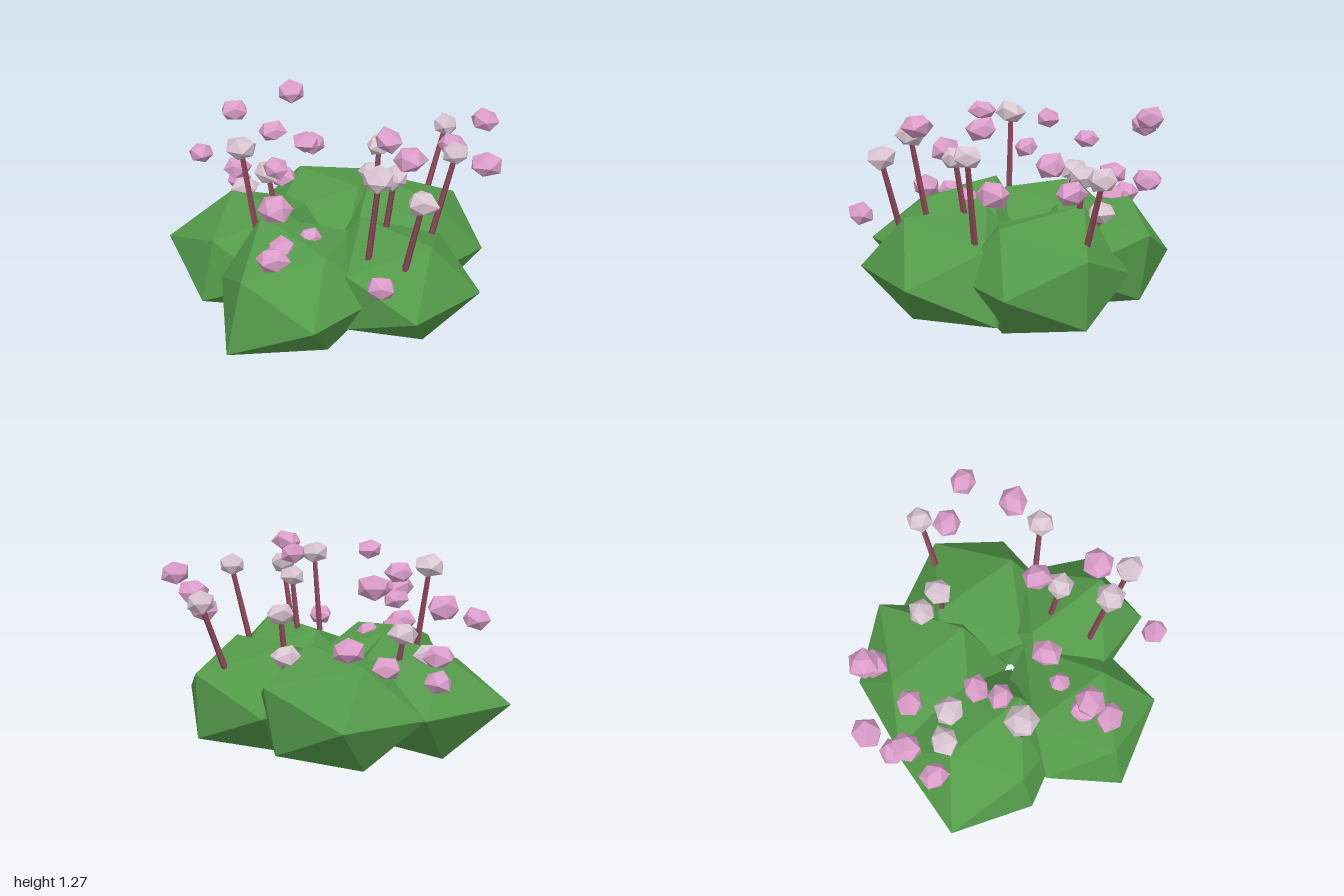
import * as THREE from 'three';

const mat = (name, color) => {
  const m = new THREE.MeshStandardMaterial({ color, flatShading: true });
  m.name = name;
  return m;
};

// small seeded generator for the blossom irregularity
let seed = 7;
const rand = () => {
  seed = (seed * 16807) % 2147483647;
  return seed / 2147483647;
};

// the twelve icosahedron corners, in the order used by the radius lists
const T = (1 + Math.sqrt(5)) / 2;
const CORNERS = [
  [-1, T, 0], [1, T, 0], [-1, -T, 0], [1, -T, 0],
  [0, -1, T], [0, 1, T], [0, -1, -T], [0, 1, -T],
  [T, 0, -1], [T, 0, 1], [-T, 0, -1], [-T, 0, 1],
].map((c) => new THREE.Vector3(...c).normalize());

// icosahedron with its own radius at every corner, squashed in y
function lump(radii, squash) {
  const geo = new THREE.IcosahedronGeometry(1, 0);
  const pos = geo.attributes.position;
  const v = new THREE.Vector3();
  for (let i = 0; i < pos.count; i++) {
    v.fromBufferAttribute(pos, i).normalize();
    const r = radii[CORNERS.findIndex((c) => c.dot(v) > 0.99)];
    pos.setXYZ(i, v.x * r, v.y * r * squash, v.z * r);
  }
  geo.computeVertexNormals();
  return geo;
}

export function createModel() {
  const model = new THREE.Group();
  model.name = 'floweringBush';
  const green = mat('leafGreen', 0x549a4a);
  const pink = mat('petalPink', 0xdb9dca);
  const pale = mat('blossomPale', 0xdac5d2);
  const wine = mat('stemWine', 0x8c4658);

  const add = (name, geo, material, x, y, z) => {
    const mesh = new THREE.Mesh(geo, material);
    mesh.name = name;
    mesh.position.set(x, y, z);
    model.add(mesh);
    return mesh;
  };

  // five foliage clumps in a ring, starting at the left and turning to the front
  const clumps = [
    [0.52, 0.54, 0.603, 0.47, 0.45, 0.45, 0.61, 0.47, 0.512, 0.512, 0.5, 0.5],
    [0.58, 0.46, 0.47, 0.5, 0.623, 0.482, 0.5, 0.54, 0.5, 0.54, 0.5, 0.464],
    [0.5, 0.53, 0.55, 0.53, 0.548, 0.43, 0.5, 0.52, 0.5, 0.5, 0.56, 0.611],
    [0.5, 0.55, 0.49, 0.49, 0.5, 0.5, 0.5, 0.583, 0.5, 0.5, 0.447, 0.54],
    [0.595, 0.52, 0.49, 0.49, 0.5, 0.52, 0.52, 0.524, 0.487, 0.5, 0.517, 0.5],
  ];
  clumps.forEach((radii, i) => {
    const a = (i * Math.PI * 2) / 5;
    add('foliageClump', lump(radii, 0.72), green,
      0.081 + 0.483 * Math.cos(a), 0.38, 0.483 * Math.sin(a));
  });

  // irregular little blossom
  const blossom = (name, material, x, y, z, r) => {
    const radii = CORNERS.map(() => r * (0.88 + 0.28 * rand()));
    add(name, lump(radii, 0.78), material, x, y, z).rotation.y = rand() * Math.PI * 2;
  };

  // thin stem between two points
  const stem = (a, b) => {
    const dir = b.clone().sub(a);
    const mid = a.clone().add(b).multiplyScalar(0.5);
    const mesh = add('stem', new THREE.CylinderGeometry(0.016, 0.02, dir.length(), 5),
      wine, mid.x, mid.y, mid.z);
    mesh.quaternion.setFromUnitVectors(new THREE.Vector3(0, 1, 0), dir.normalize());
  };

  // pale blossoms: head x, y, z, radius, then stem foot x, y, z
  [
    [-0.21, 1.13, 0.49, 0.095, -0.16, 0.62, 0.44],
    [-0.05, 0.93, -0.49, 0.085, -0.04, 0.66, -0.46],
    [0.14, 1.02, -0.9, 0.085, 0.13, 0.6, -0.76],
    [0.52, 1.02, -0.03, 0.085, 0.46, 0.64, -0.03],
    [0.66, 1.11, -0.39, 0.085, 0.57, 0.57, -0.31],
    [0.66, 1.13, 0.24, 0.09, 0.57, 0.58, 0.22],
    [0.9, 1.04, 0.15, 0.09, 0.79, 0.59, 0.15],
    [-0.43, 0.8, 0.11, 0.09, -0.4, 0.62, 0.1],
    [-0.55, 0.69, 0.2, 0.09, -0.53, 0.58, 0.2],
    [-0.15, 0.71, -0.53, 0.085, -0.14, 0.58, -0.52],
  ].forEach(([x, y, z, r, fx, fy, fz]) => {
    blossom('paleBlossom', pale, x, y, z, r);
    stem(new THREE.Vector3(fx, fy, fz), new THREE.Vector3(x, y - 0.02, z));
  });

  // loose pink petals drifting around the bush: x, y, z, radius
  [
    [-0.6, 0.81, -0.42, 0.095], [-0.69, 1.17, -0.31, 0.09], [-0.57, 0.66, -0.12, 0.085],
    [-0.91, 1.05, -0.01, 0.092], [-0.82, 0.61, 0.04, 0.085], [-0.75, 0.73, 0.1, 0.09],
    [-0.29, 1.13, 0.19, 0.085], [-0.17, 0.95, 0.26, 0.08], [-0.75, 0.91, 0.38, 0.085],
    [0.13, 1.21, 0.29, 0.085], [0.22, 0.66, 0.35, 0.07], [0.22, 0.92, 0.61, 0.095],
    [0.21, 0.66, 0.56, 0.08], [0.31, 0.67, 0.7, 0.092], [0.39, 1.19, -0.11, 0.09],
    [0.71, 1.21, 0.06, 0.095], [0.9, 0.64, 0.45, 0.085], [0.28, 0.94, -0.81, 0.088],
    [0.47, 1.14, -0.89, 0.085], [0.67, 0.97, -0.66, 0.1],
  ].forEach((p) => blossom('loosePetal', pink, ...p));

  return model;
}
